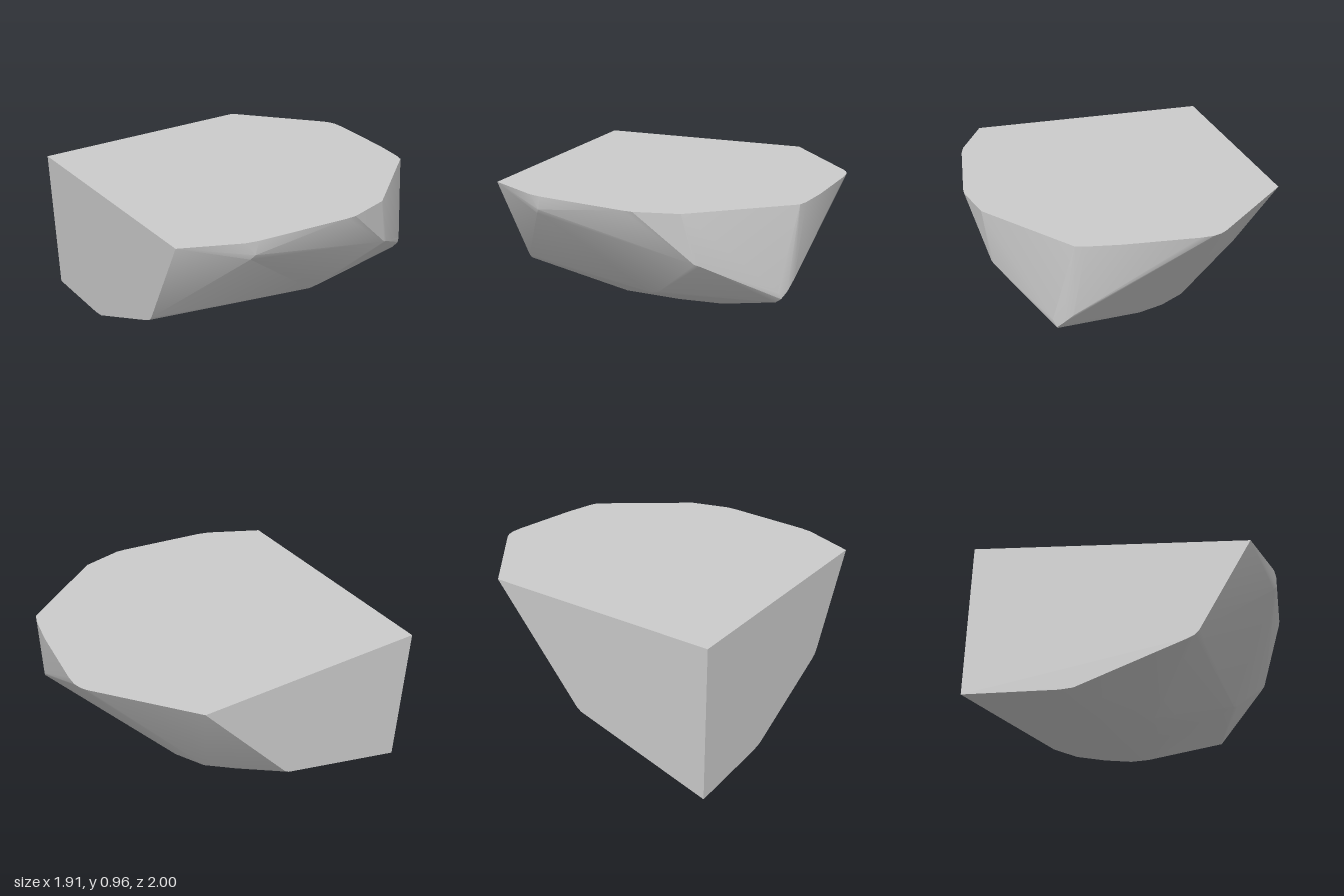
import * as THREE from 'three';
import { ConvexGeometry } from 'three/addons/geometries/ConvexGeometry.js';
import { toCreasedNormals } from 'three/addons/utils/BufferGeometryUtils.js';

const TOP = 0.965, FRONT = 1, SIDE = -0.96;

export function createModel() {
  const points = [];
  const add = (list, place) => list.forEach((p) => points.push(new THREE.Vector3(...place(p))));

  // Flat top: outline as (x, z)
  add([
    [SIDE, FRONT], [SIDE, -0.51], [-0.42, -0.96], [-0.38, -0.985], [-0.33, -1], [-0.25, -1],
    [0.2, -0.955], [0.4, -0.92], [0.46, -0.9], [0.89, -0.33], [0.955, -0.06], [0.953, 0],
    [0.885, 0.58], [0.865, 0.66], [0.7, FRONT],
  ], ([x, z]) => [x, TOP, z]);

  // Flat front cut: lower outline as (x, y)
  add([
    [SIDE, 0], [-0.41, 0.015], [-0.33, 0.026], [0.32, 0.32], [0.355, 0.34], [0.38, 0.37],
  ], ([x, y]) => [x, y, FRONT]);

  // Flat side cut: lower corner as (y, z)
  add([[0.27, 0.08], [0.25, 0.11]], ([y, z]) => [SIDE, y, z]);

  // Worn corners of the broken flank, and the curved edge of the underside
  add([
    [0.47, 0.5, -0.885], [0.53, 0.44, -0.862], [0.56, 0.4, -0.835], [0.55, 0.37, -0.8], [0.58, 0.45, -0.82],
    [0.86, 0.66, -0.4], [0.85, 0.65, -0.43], [0.865, 0.68, -0.37],
    [0.62, 0.345, -0.05], [0.61, 0.335, -0.02], [0.635, 0.36, -0.08],
    [0.88, 0.88, 0.6], [0.86, 0.85, 0.62],
    [0.1, 0.088, 0.4], [0.11, 0.09, 0], [0.08, 0.092, -0.3], [0.02, 0.092, -0.36],
    [-0.1, 0.085, -0.37], [-0.28, 0.077, -0.31], [-0.46, 0.066, -0.2], [-0.59, 0.057, -0.03],
  ], (p) => p);

  const rock = new THREE.Mesh(
    toCreasedNormals(new ConvexGeometry(points), 0.36),
    new THREE.MeshStandardMaterial({ color: 0xcccccc }),
  );
  rock.name = 'rockChunk';

  const model = new THREE.Group();
  model.name = 'cutRock';
  model.add(rock);
  return model;
}
